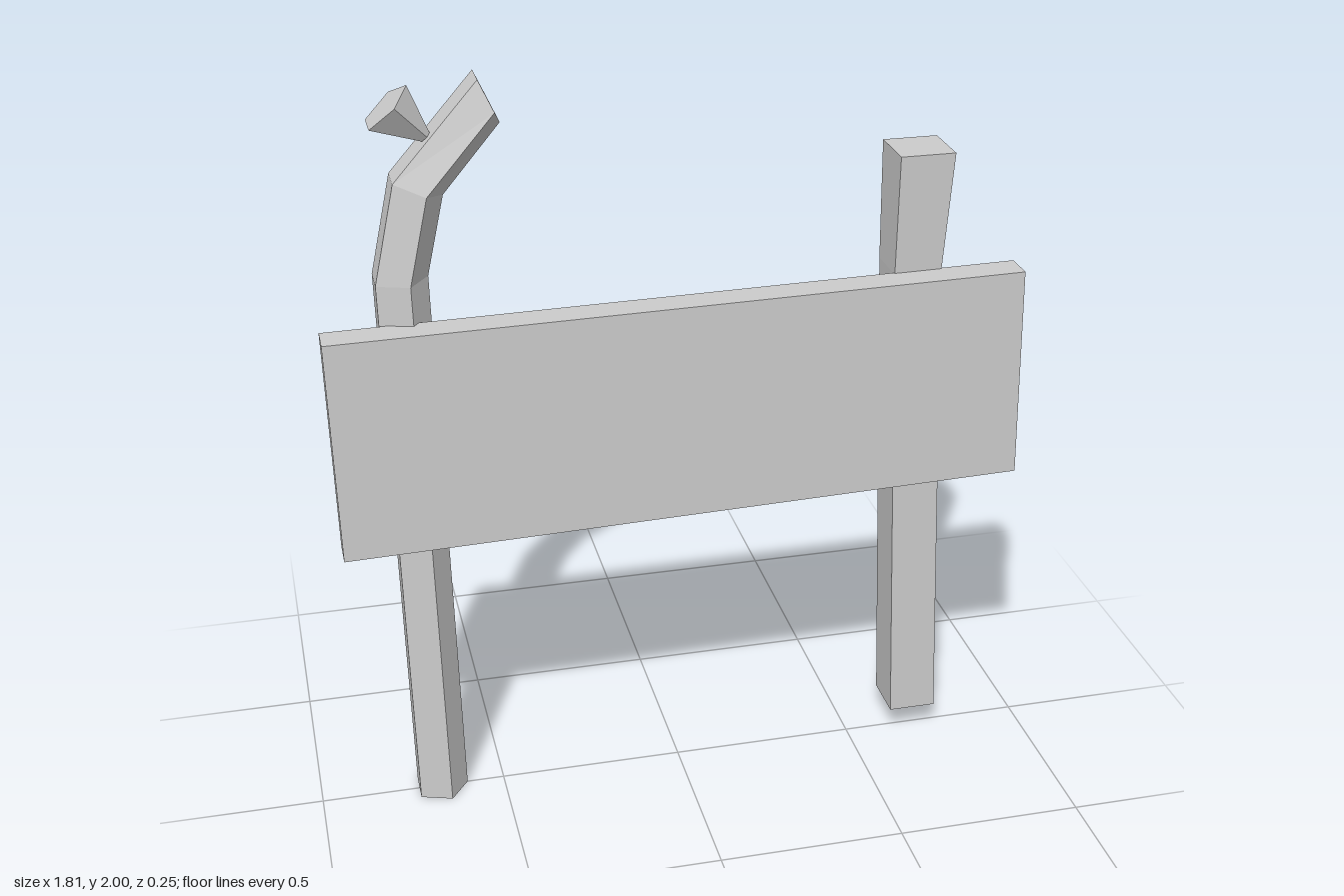
import * as THREE from 'three';

// Regular n-sided ring: u is its in-plane direction in x/y, the other axis is z
function ring(n, [x, y, z], [ux, uy], r, turn = 0) {
  return Array.from({ length: n }, (_, i) => {
    const a = turn + (i / n) * Math.PI * 2;
    const c = r * Math.cos(a), s = r * Math.sin(a);
    return [x + c * ux, y + c * uy, z + s];
  });
}

// Faceted solid through a list of rings, closed at both ends
function loft(rings) {
  const p = [], n = rings[0].length;
  for (let k = 0; k + 1 < rings.length; k++) {
    for (let i = 0; i < n; i++) {
      const j = (i + 1) % n, lo = rings[k], hi = rings[k + 1];
      p.push(...lo[i], ...hi[i], ...lo[j], ...lo[j], ...hi[i], ...hi[j]);
    }
  }
  const first = rings[0], last = rings[rings.length - 1];
  for (let i = 1; i + 1 < n; i++) {
    p.push(...first[0], ...first[i], ...first[i + 1]);
    p.push(...last[0], ...last[i + 1], ...last[i]);
  }
  const g = new THREE.BufferGeometry();
  g.setAttribute('position', new THREE.Float32BufferAttribute(p, 3));
  g.computeVertexNormals();
  return g;
}

export function createModel() {
  const model = new THREE.Group();
  model.name = 'signpost';
  const grey = new THREE.MeshStandardMaterial({ color: 0xcccccc });
  grey.name = 'plain grey';

  const add = (name, geometry) => {
    const mesh = new THREE.Mesh(geometry, grey);
    mesh.name = name;
    model.add(mesh);
    return mesh;
  };

  // Slightly crooked sign board
  const outline = new THREE.Shape([
    [-0.895, 0.815], [0.903, 0.862], [0.888, 1.439], [-0.907, 1.412],
  ].map(([x, y]) => new THREE.Vector2(x, y)));
  add('signBoard', new THREE.ExtrudeGeometry(outline, { depth: 0.083, bevelEnabled: false }))
    .position.z = 0.042;

  // Square post, leaning and flared at the top
  const square = (x, y, half) =>
    ring(4, [x, y, -0.016], [1, 0], half * Math.SQRT2, Math.PI / 4);
  add('squarePost', loft([
    square(0.68, 0.085, 0.065),
    square(0.625, 1.43, 0.063),
    square(0.633, 1.75, 0.0725),
  ]));

  // Five-sided branch post that bends over at the top
  add('branchPost', loft([
    ring(5, [-0.675, 0.003, 0], [1, 0], 0.074),
    ring(5, [-0.702, 1.517, -0.008], [1, 0], 0.074),
    ring(5, [-0.649, 1.748, -0.016], [0.926, -0.376], 0.074),
    ring(5, [-0.461, 1.948, -0.05], [0.417, -0.909], 0.074),
  ]));

  // Small flaring twig beside the bend
  add('twig', loft([
    ring(5, [-0.615, 1.867, -0.02], [0.737, 0.675], 0.015),
    ring(5, [-0.707, 1.947, -0.02], [0.737, 0.675], 0.074),
  ]));

  return model;
}
